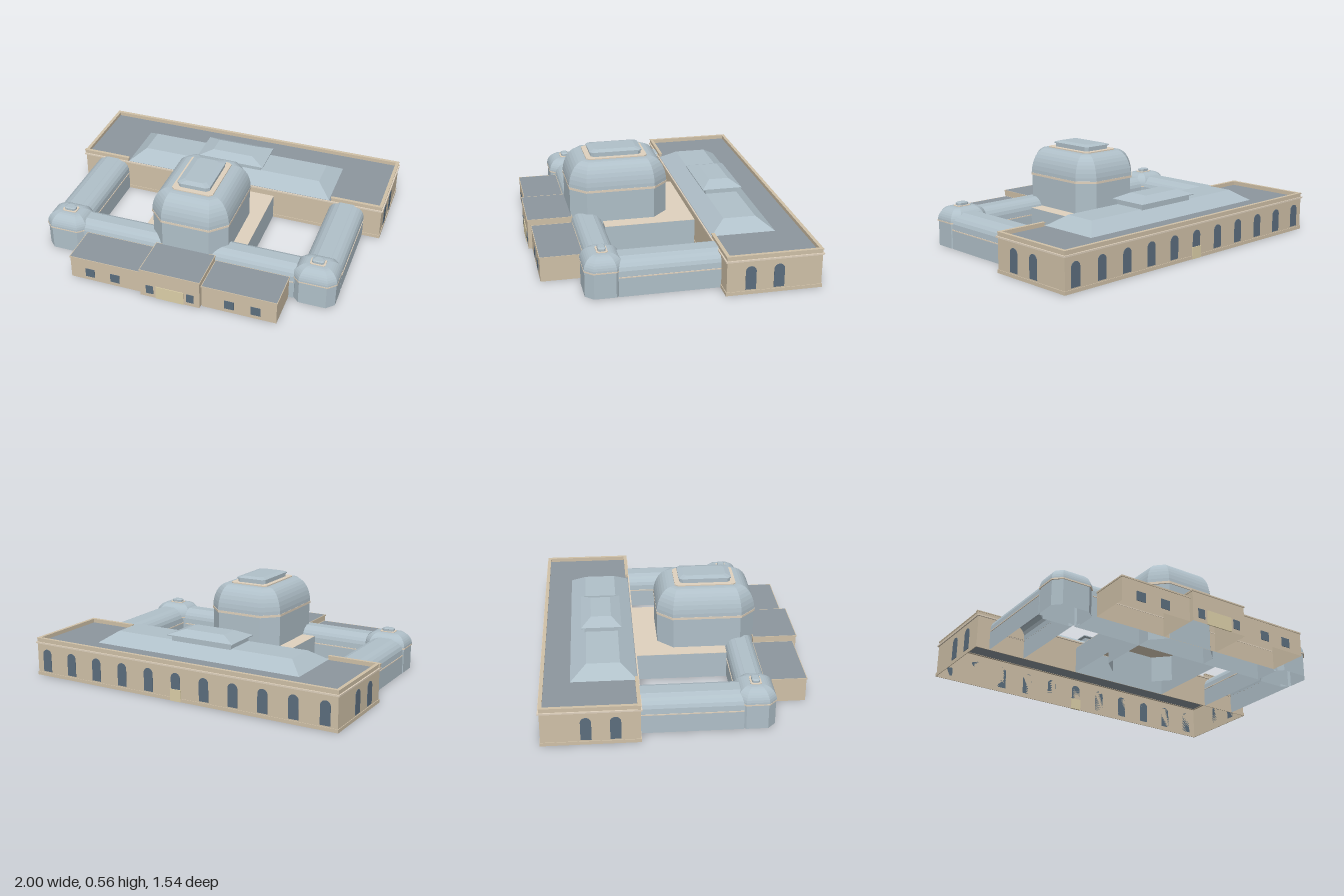
import * as THREE from 'three';

const mat = (color) => new THREE.MeshStandardMaterial({ color, flatShading: true, side: THREE.DoubleSide });
const STONE = mat(0xd0c1a8), TRIM = mat(0xe0d2be), LEAD = mat(0xb0c0c9),
  ROOF = mat(0x8d969e), GLASS = mat(0x5c6e7e), DOOR = mat(0xdccfa8);
const CX = -0.0125; // shared axis of the symmetric parts

export function createModel() {
  const model = new THREE.Group();

  const add = (name, geometry, material, x = 0, y = 0, z = 0, ry = 0) => {
    const mesh = new THREE.Mesh(geometry, material);
    mesh.name = name;
    mesh.position.set(x, y, z);
    mesh.rotation.y = ry;
    model.add(mesh);
    return mesh;
  };
  const box = (name, material, w, h, d, x, y, z) => add(name, new THREE.BoxGeometry(w, h, d), material, x, y, z);

  // Outline of a rectangle with optional chamfered corners
  const ring = ([hx, hz, y, c = 0]) => {
    const pts = c
      ? [[hx, hz - c], [hx, c - hz], [hx - c, -hz], [c - hx, -hz], [-hx, c - hz], [-hx, hz - c], [c - hx, hz], [hx - c, hz]]
      : [[hx, hz], [hx, -hz], [-hx, -hz], [-hx, hz]];
    return pts.map(([x, z]) => [x, y, z]);
  };

  // Hollow shell through stacked outlines [halfX, halfZ, y, chamfer], open below
  const shell = (name, material, x, z, levels, cap = true) => {
    const rings = levels.map(ring), n = rings[0].length, pos = [];
    for (let k = 0; k + 1 < rings.length; k++) {
      for (let i = 0; i < n; i++) {
        const j = (i + 1) % n;
        const a = rings[k][i], b = rings[k][j], c = rings[k + 1][j], d = rings[k + 1][i];
        pos.push(...a, ...b, ...c, ...a, ...c, ...d);
      }
    }
    const top = rings[rings.length - 1];
    if (cap) for (let i = 1; i + 1 < n; i++) pos.push(...top[0], ...top[i], ...top[i + 1]);
    const g = new THREE.BufferGeometry();
    g.setAttribute('position', new THREE.Float32BufferAttribute(pos, 3));
    g.computeVertexNormals();
    return add(name, g, material, x, 0, z);
  };

  // Thin protruding band around a block
  const band = (name, material, x, z, hx, hz, y0, y1, c = 0, out = 0.006) =>
    shell(name, material, x, z, [[hx, hz, y0, c], [hx + out, hz + out, y0, c], [hx + out, hz + out, y1, c], [hx, hz, y1, c]], false);

  // Rear block: walls, plinth, cornice, sunken roof
  const RX = 0, RZ = -0.495;
  shell('rearBlockWalls', STONE, RX, RZ, [[0.992, 0.27, 0], [0.992, 0.27, 0.205]], false);
  band('rearPlinth', STONE, RX, RZ, 0.992, 0.27, 0, 0.02, 0, 0.004);
  band('rearCornice', TRIM, RX, RZ, 0.992, 0.27, 0.197, 0.206, 0, 0.008);
  shell('rearRoof', ROOF, RX, RZ, [[0.992, 0.27, 0.204], [0.992, 0.27, 0.206]]);

  // Parapet, interrupted at the front by the hipped roof
  const parapet = (w, d, x, z) => {
    box('parapet', STONE, w, 0.022, d, x, 0.215, z);
    box('parapetCoping', STONE, w + 0.006, 0.006, d + 0.006, x, 0.228, z);
  };
  parapet(1.984, 0.014, 0, -0.758);
  for (const s of [-1, 1]) {
    parapet(0.014, 0.54, s * 0.985, RZ);
    parapet(0.31, 0.014, s * 0.837 + CX / 2, -0.232);
  }

  // Hipped roof with raised skylight
  shell('hippedRoof', LEAD, CX, -0.415, [[0.673, 0.187, 0.206], [0.583, 0.095, 0.27]]);
  shell('skylight', LEAD, CX, -0.417,
    [[0.2, 0.1, 0.265], [0.2, 0.1, 0.295], [0.218, 0.12, 0.297], [0.218, 0.12, 0.303], [0.13, 0.06, 0.335]]);

  // Arched windows
  const arch = (w, h) => {
    const s = new THREE.Shape();
    s.moveTo(-w / 2, 0);
    s.lineTo(w / 2, 0);
    s.lineTo(w / 2, h - w / 2);
    s.absarc(0, h - w / 2, w / 2, 0, Math.PI, false);
    s.closePath();
    return new THREE.ExtrudeGeometry(s, { depth: 0.003, bevelEnabled: false, curveSegments: 8 });
  };
  const archGeo = arch(0.06, 0.137);
  for (let i = -5; i <= 5; i++) add('rearWindow', archGeo, GLASS, i * 0.184, 0.028, -0.765, Math.PI);
  for (const s of [-1, 1]) {
    for (const z of [-0.36, -0.52]) add('endWindow', archGeo, GLASS, s * 0.992, 0.028, z, s * Math.PI / 2);
  }
  box('rearDoor', DOOR, 0.07, 0.07, 0.012, 0, 0.035, -0.766);

  // Central hall linking the dome to the rear block
  shell('centralHallWalls', LEAD, CX, 0.05, [[0.32, 0.27, 0], [0.32, 0.27, 0.16]], false);
  shell('centralHallRoof', TRIM, CX, 0.05, [[0.32, 0.27, 0.158], [0.32, 0.27, 0.161]]);

  // Vaulted galleries: [fraction of half width, height]
  const vault = [[0.97, 0], [0.97, 0.12], [0.95, 0.15], [0.88, 0.17], [0.75, 0.187], [0.6, 0.199], [0.38, 0.208], [0.35, 0.21]];
  shell('frontGallery', LEAD, CX, 0.41, vault.map(([f, y]) => [0.66, 0.09 * f, y]));
  band('frontGalleryTrim', TRIM, CX, 0.41, 0.65, 0.087, 0.112, 0.118, 0, 0.004);
  for (const s of [-1, 1]) {
    const x = CX + s * 0.787;
    shell('sideGallery', LEAD, x, 0.06, vault.map(([f, y]) => [0.115 * f, 0.285, y]));
    band('sideGalleryTrim', TRIM, x, 0.06, 0.111, 0.28, 0.112, 0.118, 0, 0.004);
  }

  // Chamfered domed pavilion: walls, cornice, curved roof, lantern
  const pavilion = (name, x, z, hx, hz, c, wallTop, domeTop, topX, topZ, lantern) => {
    shell(name + 'Walls', LEAD, x, z, [[hx - 0.004, hz - 0.004, 0, c], [hx - 0.004, hz - 0.004, wallTop, c]], false);
    const t = hx * 0.03;
    band(name + 'Cornice', TRIM, x, z, hx - 0.004, hz - 0.004, wallTop - t, wallTop + t, c, 0.005);
    const levels = [], N = 9;
    for (let i = 0; i <= N; i++) {
      const a = (i / N) * Math.PI / 2, k = 1 - Math.cos(a);
      levels.push([hx - (hx - topX) * k, hz - (hz - topZ) * k, wallTop + (domeTop - wallTop) * Math.sin(a), c * (1 - 0.7 * k)]);
    }
    shell(name + 'Dome', LEAD, x, z, levels);
    const [lx, lz, h] = lantern, lc = c * 0.2, rim = lx * 0.25;
    shell(name + 'LanternBase', TRIM, x, z,
      [[lx + rim, lz + rim, domeTop - 0.002, lc], [lx + rim, lz + rim, domeTop + h * 0.15, lc]]);
    shell(name + 'Lantern', LEAD, x, z, [
      [lx * 0.96, lz * 0.96, domeTop, lc], [lx * 0.96, lz * 0.96, domeTop + h * 0.6, lc],
      [lx, lz, domeTop + h * 0.62, lc], [lx, lz, domeTop + h * 0.78, lc], [lx * 0.66, lz * 0.8, domeTop + h, lc]]);
  };
  pavilion('mainPavilion', CX, 0.21, 0.237, 0.295, 0.09, 0.353, 0.512, 0.143, 0.195, [0.1, 0.158, 0.043]);
  for (const s of [-1, 1]) {
    pavilion('cornerPavilion', CX + s * 0.774, 0.418, 0.13, 0.11, 0.045, 0.152, 0.233, 0.055, 0.037, [0.036, 0.022, 0.022]);
  }

  // Front entrance blocks with flat roofs
  const block = (name, x, hx, z0, z1, h) => {
    const z = (z0 + z1) / 2, hz = (z1 - z0) / 2;
    shell(name + 'Walls', STONE, x, z, [[hx - 0.004, hz - 0.004, 0], [hx - 0.004, hz - 0.004, h]], false);
    shell(name + 'Roof', ROOF, x, z, [[hx - 0.004, hz - 0.004, h - 0.003], [hx - 0.004, hz - 0.004, h]]);
    band(name + 'Cornice', STONE, x, z, hx - 0.004, hz - 0.004, h - 0.009, h, 0, 0.004);
  };
  for (const s of [-1, 1]) block('frontWing', CX + s * 0.408, 0.225, 0.495, 0.743, 0.148);
  block('entrance', CX, 0.185, 0.495, 0.765, 0.185);
  for (const s of [-1, 1]) {
    for (const d of [0.35, 0.507]) box('frontWindow', GLASS, 0.058, 0.056, 0.006, CX + s * d, 0.053, 0.739);
    box('entranceWindow', GLASS, 0.045, 0.056, 0.006, CX + s * 0.123, 0.053, 0.761);
  }
  box('entranceDoor', DOOR, 0.17, 0.085, 0.006, CX, 0.0425, 0.762);

  return model;
}
